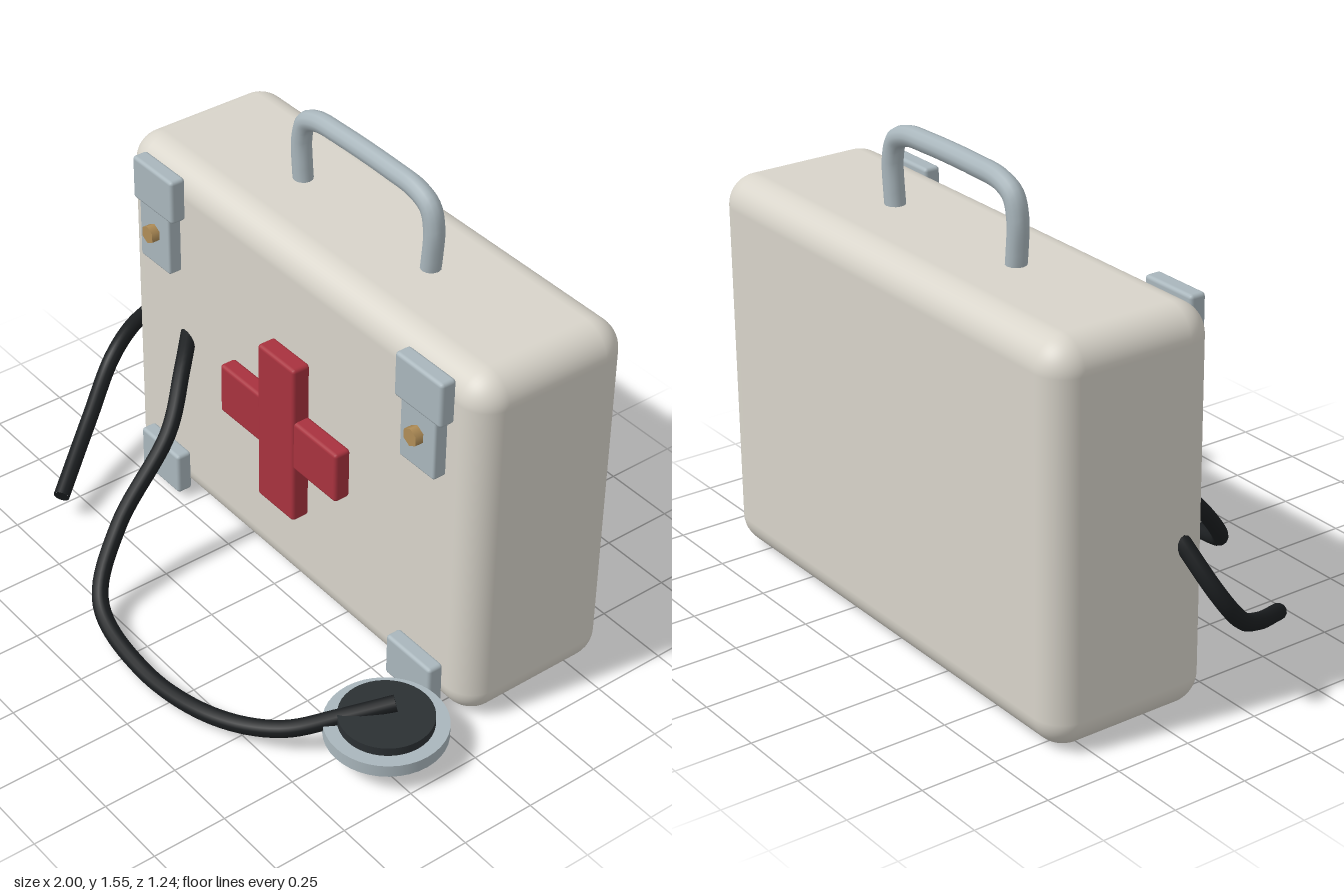
import * as THREE from 'three';
import { RoundedBoxGeometry } from 'three/addons/geometries/RoundedBoxGeometry.js';

const material = (color) => new THREE.MeshStandardMaterial({ color });

export function createModel() {
  const model = new THREE.Group();
  const cream = material(0xd8d4ca);
  const steel = material(0xa9b6bc);
  const red = material(0xa8323e);
  const brass = material(0xb08d57);
  const rubber = material(0x1b1e20);
  const darkGrey = material(0x2b3033);
  const middle = 0.0125; // x of the case's centre line

  const add = (name, geometry, mat, parent = model) => {
    const mesh = new THREE.Mesh(geometry, mat);
    mesh.name = name;
    parent.add(mesh);
    return mesh;
  };

  // Rounded box given by its extents along each axis
  const box = (name, [x0, x1], [y0, y1], [z0, z1], radius, mat, parent, segments = 2) => {
    const geometry = new RoundedBoxGeometry(x1 - x0, y1 - y0, z1 - z0, segments, radius);
    const mesh = add(name, geometry, mat, parent);
    mesh.position.set((x0 + x1) / 2, (y0 + y1) / 2, (z0 + z1) / 2);
    return mesh;
  };

  // Smooth tube through points, closed with flat ends
  const hose = (name, points, radius, mat, sides = 12) => {
    const group = new THREE.Group();
    group.name = name;
    const curve = new THREE.CatmullRomCurve3(points.map((p) => new THREE.Vector3(...p)));
    add(name + 'Tube', new THREE.TubeGeometry(curve, 80, radius, sides), mat, group);
    for (const end of [0, 1]) {
      const cap = add(name + 'End', new THREE.CircleGeometry(radius, sides), mat, group);
      const outward = curve.getTangent(end).multiplyScalar(end ? 1 : -1);
      cap.position.copy(curve.getPoint(end));
      cap.quaternion.setFromUnitVectors(new THREE.Vector3(0, 0, 1), outward);
    }
    model.add(group);
  };

  // Case
  box('caseBody', [-0.865, 0.89], [0.01, 1.28], [-0.622, -0.055], 0.1, cream, model, 6);

  // Carrying handle
  const halfHandle = [
    [0.3, 1.22], [0.312, 1.32], [0.316, 1.42], [0.295, 1.485], [0.235, 1.515], [0.12, 1.523],
  ];
  hose('handle', [
    ...halfHandle.map(([x, y]) => [middle - x, y, -0.335]),
    ...halfHandle.toReversed().map(([x, y]) => [middle + x, y, -0.335]),
  ], 0.033, steel);

  // Cross emblem
  box('crossUpright', [-0.08, 0.103], [0.335, 0.92], [-0.06, 0.006], 0.012, red);
  box('crossBar', [-0.283, 0.307], [0.54, 0.722], [-0.058, 0.001], 0.012, red);

  // Latches and lower corner plates
  for (const side of [-1, 1]) {
    const latch = new THREE.Group();
    latch.name = side > 0 ? 'leftLatch' : 'rightLatch';
    latch.position.x = middle + side * 0.6525;
    box('latchPlate', [-0.105, 0.105], [1.105, 1.26], [-0.06, -0.004], 0.012, steel, latch);
    box('latchTongue', [-0.079, 0.079], [0.902, 1.12], [-0.058, -0.01], 0.008, steel, latch);
    box('lowerPlate', [-0.105, 0.105], [0.033, 0.186], [-0.06, -0.004], 0.012, steel, latch);
    const stud = add('latchStud', new THREE.CylinderGeometry(0.031, 0.031, 0.04, 6), brass, latch);
    stud.rotation.x = Math.PI / 2;
    stud.position.set(0, 1.025, -0.002);
    model.add(latch);
  }

  // Stethoscope tubing
  hose('mainHose', [
    [-0.56, 0.66, -0.08], [-0.45, 0.61, 0.03], [-0.34, 0.49, 0.165], [-0.29, 0.26, 0.4],
    [-0.19, 0.09, 0.545], [0.1, 0.036, 0.59], [0.42, 0.055, 0.55], [0.62, 0.09, 0.44],
    [0.72, 0.13, 0.29], [0.8, 0.165, 0.15],
  ], 0.027, rubber);
  hose('sideHose', [
    [-0.78, 0.64, -0.18], [-0.87, 0.55, -0.16], [-0.955, 0.43, -0.115], [-0.965, 0.33, -0.04],
    [-0.86, 0.22, 0.125], [-0.69, 0.1, 0.36],
  ], 0.027, rubber);

  // Stethoscope chest piece
  const rim = add('chestPiece', new THREE.CylinderGeometry(0.192, 0.192, 0.042, 40), steel);
  rim.position.set(0.807, 0.1, 0.19);
  const disc = add('chestPieceTop', new THREE.CylinderGeometry(0.148, 0.148, 0.035, 40), darkGrey);
  disc.position.set(0.807, 0.133, 0.19);

  return model;
}
